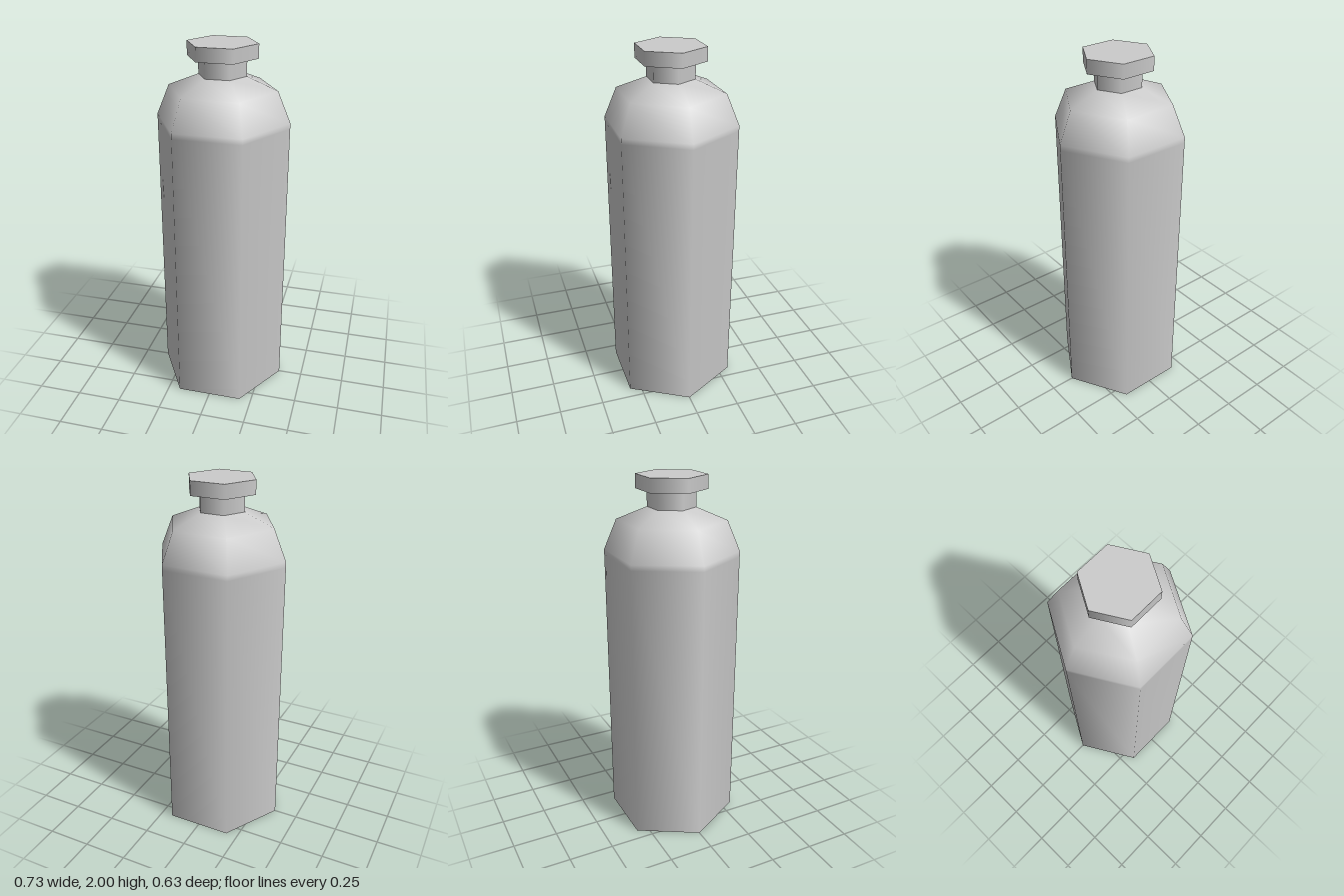
import * as THREE from 'three';

const SIDES = 6;
const START = Math.PI / 2; // a corner points along x

export function createModel() {
  const bottle = new THREE.Group();
  bottle.name = 'bottle';
  const material = new THREE.MeshStandardMaterial({ color: 0xcccccc, side: THREE.DoubleSide });

  const add = (name, geometry, y = 0) => {
    const mesh = new THREE.Mesh(geometry, material);
    mesh.name = name;
    mesh.position.y = y;
    bottle.add(mesh);
  };

  // Smooth-shaded hexagonal shell through [radius, height] points
  const shell = (profile) => new THREE.LatheGeometry(
    profile.map(([r, y]) => new THREE.Vector2(r, y)), SIDES, START);

  // Body, open underneath, with a two-step shoulder
  add('body', shell([[0.365, 0], [0.365, 1.57], [0.365, 1.6], [0.295, 1.765], [0.13, 1.832]]));

  // Straight neck
  add('neck', shell([[0.13, 1.832], [0.13, 1.925]]));

  // Solid cap overhanging the neck
  add('cap', new THREE.CylinderGeometry(0.19, 0.19, 0.075, SIDES, 1, false, START), 1.9625);

  return bottle;
}
